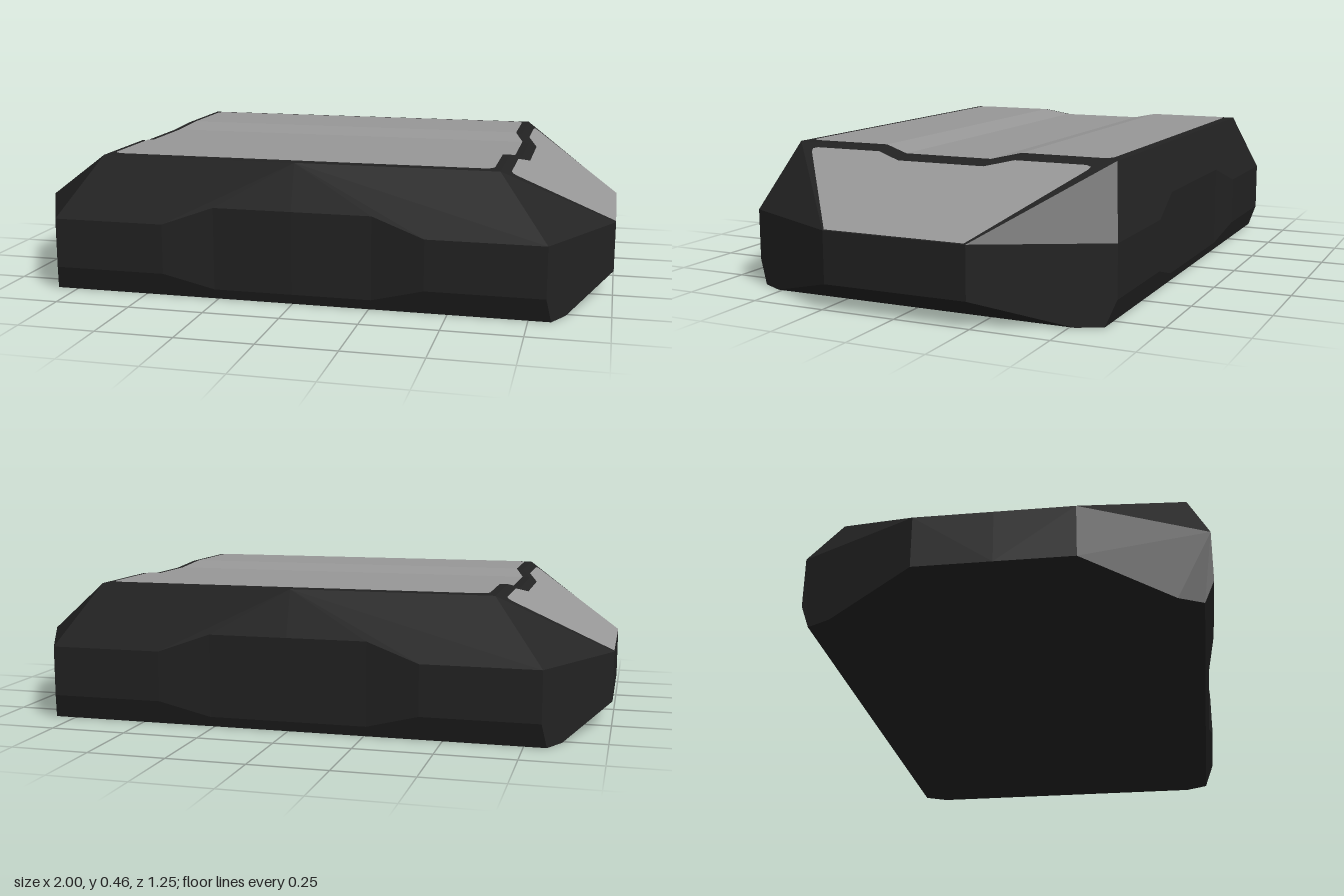
import * as THREE from 'three';

const bodyDark = new THREE.MeshStandardMaterial({ color: 0x222222 });
bodyDark.name = 'bodyDark';
const panelGrey = new THREE.MeshStandardMaterial({ color: 0x979797 });
panelGrey.name = 'panelGrey';

// Builds flat faces from the polygons of one quarter (+x, +z), mirrored in x and z
function quarterMesh(name, polygons, material) {
  const pos = [];
  for (const sx of [1, -1]) for (const sz of [1, -1]) {
    for (const p of polygons) {
      for (let i = 1; i < p.length - 1; i++) {
        const tri = sx * sz > 0 ? [p[0], p[i], p[i + 1]] : [p[0], p[i + 1], p[i]];
        for (const [x, y, z] of tri) pos.push(x * sx, y, z * sz);
      }
    }
  }
  const geo = new THREE.BufferGeometry();
  geo.setAttribute('position', new THREE.Float32BufferAttribute(pos, 3));
  geo.computeVertexNormals();
  const mesh = new THREE.Mesh(geo, material);
  mesh.name = name;
  return mesh;
}

// Main levels: base, lower rim, upper rim, channel floor, top
const RIM0 = 0.08, RIM1 = 0.245, FLOOR = 0.435, TOP = 0.455;
const endSlopeY = (x) => TOP - (x - 0.65) * 0.6;

export function createModel() {
  const group = new THREE.Group();
  group.name = 'facetedCase';

  // Shared corner points of the body
  const topCorner = [0.65, TOP, 0.56];
  const endHigh = [1, RIM1, 0.24], endLow = [1, RIM0, 0.24];
  const sideHigh = [0.805, RIM1, 0.623], sideLow = [0.805, RIM0, 0.623];
  const baseSide = [0.82, 0, 0.592], baseEnd = [0.86, 0, 0.515];
  const chanIn = [0.683, FLOOR, 0.15], chanOut = [0.65, TOP, 0.24];
  const recHigh = [0.26, 0.305, 0.605], recLow = [0.26, 0.034, 0.605];
  const lipHigh = [0.43, RIM1, 0.623], lipLow = [0.43, RIM0, 0.623];

  group.add(quarterMesh('body', [
    // top with its shallow channel
    [[0, TOP, 0.24], [0, TOP, 0.56], topCorner, chanOut],
    [[0, FLOOR, 0.15], [0, TOP, 0.24], chanOut, chanIn],
    [[0, FLOOR, 0], [0, FLOOR, 0.15], chanIn, [0.683, FLOOR, 0]],
    // end slope and corner facet
    [[1, RIM1, 0], [0.683, FLOOR, 0], chanIn, chanOut, topCorner, endHigh],
    [endHigh, topCorner, sideHigh],
    // long side: slope, recess, wall and lower bevel
    [[0, TOP, 0.56], [0, 0.305, 0.605], recHigh, lipHigh, sideHigh, topCorner],
    [[0, 0.305, 0.605], [0, 0.034, 0.605], recLow, recHigh],
    [recHigh, recLow, lipLow, lipHigh],
    [lipHigh, lipLow, sideLow, sideHigh],
    [baseSide, sideLow, lipLow, recLow, [0, 0.034, 0.605], [0, 0, 0.592]],
    // corner wall, end wall and end bevel
    [sideHigh, sideLow, baseSide, baseEnd, endLow, endHigh],
    [endHigh, endLow, [1, RIM0, 0], [1, RIM1, 0]],
    [endLow, baseEnd, [0.86, 0, 0], [1, RIM0, 0]],
    // underside
    [[0, 0, 0], [0.86, 0, 0], baseEnd, baseSide, [0, 0, 0.592]],
  ], bodyDark));

  // Inlaid top panel that follows the channel
  const lift = 0.003;
  const t = TOP + lift, f = FLOOR + lift;
  group.add(quarterMesh('topPanel', [
    [[0, t, 0.24], [0, t, 0.533], [0.6, t, 0.533], [0.621, t, 0.524], [0.628, t, 0.503], [0.628, t, 0.24]],
    [[0, f, 0.15], [0, t, 0.24], [0.628, t, 0.24], [0.659, f, 0.15]],
    [[0, f, 0], [0, f, 0.15], [0.659, f, 0.15], [0.659, f, 0]],
  ], panelGrey));

  // Inlaid panels on both end slopes
  const outline = [[1, 0], [0.71, 0], [0.71, 0.15], [0.677, 0.24], [0.677, 0.475],
    [0.683, 0.49], [0.697, 0.485], [1, 0.235]];
  group.add(quarterMesh('endPanels',
    [outline.map(([x, z]) => [x, endSlopeY(x) + lift, z])], panelGrey));

  return group;
}
